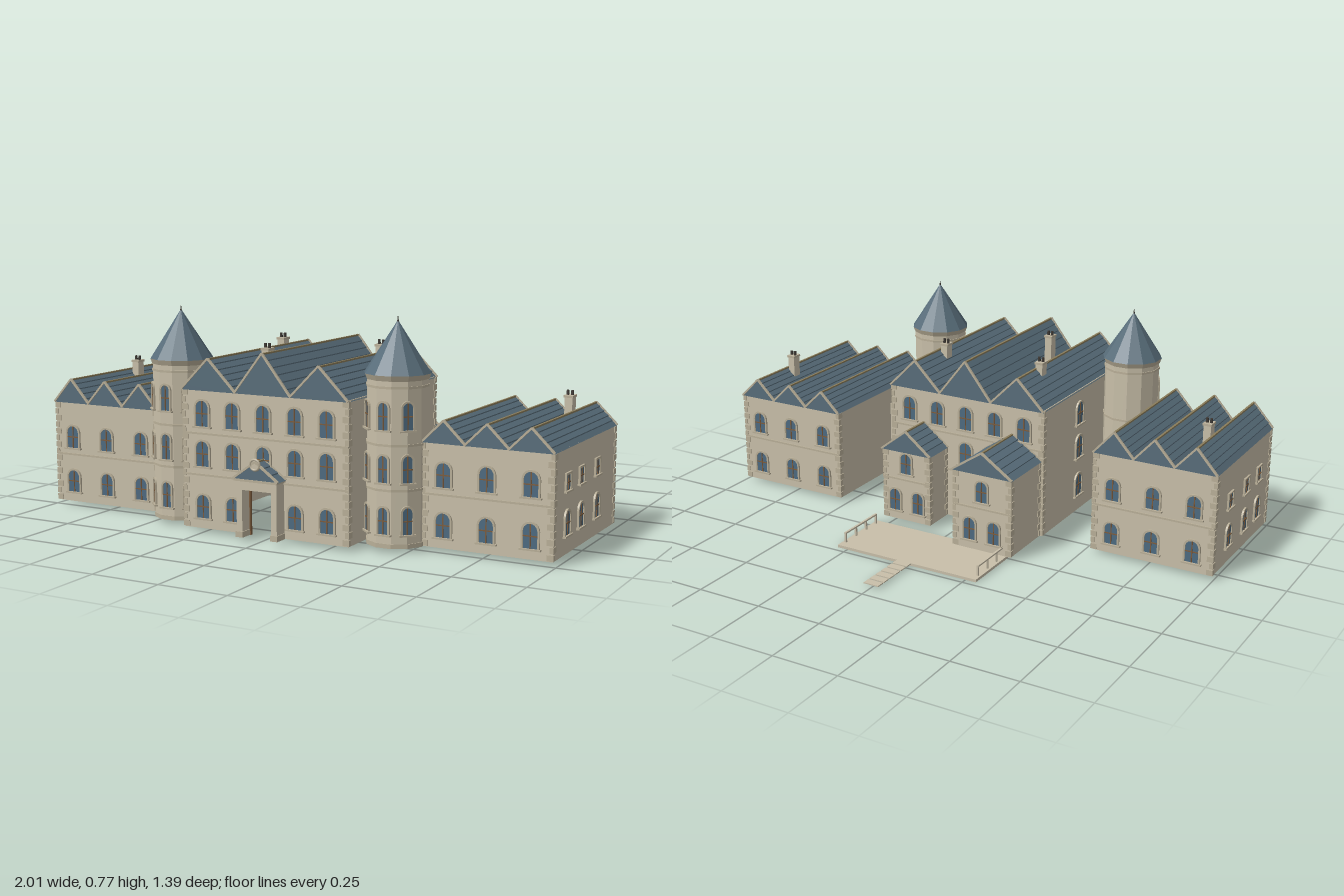
import * as THREE from 'three';

const mat = (name, color, side = THREE.FrontSide) => {
  const m = new THREE.MeshStandardMaterial({ color, side });
  m.name = name;
  return m;
};

export function createModel() {
  const stone = mat('stone', 0xc8bfa9, THREE.DoubleSide);
  const trim = mat('trim stone', 0xb9af98);
  const slate = mat('slate', 0x586d7a);
  const ridgeMat = mat('ridge', 0x8a7c5a);
  const glass = mat('glass', 0x4d6a80);
  const wood = mat('wood', 0x7b5b3c);
  const dark = mat('chimney pot', 0x3d3833);

  const house = new THREE.Group();
  house.name = 'manorHouse';
  const GROUND = 0.015;

  const add = (parent, name, geo, material, x = 0, y = 0, z = 0) => {
    const m = new THREE.Mesh(geo, material);
    m.name = name;
    m.position.set(x, y, z);
    parent.add(m);
    return m;
  };
  const box = (parent, name, material, w, h, d, x, y, z) =>
    add(parent, name, new THREE.BoxGeometry(w, h, d), material, x, y, z);
  const group = (name, parent = house) => {
    const g = new THREE.Group();
    g.name = name;
    parent.add(g);
    return g;
  };
  const extrude = (shape, depth) =>
    new THREE.ExtrudeGeometry(shape, { depth, bevelEnabled: false, curveSegments: 5 });

  // Window outline, its foot at the origin
  const outline = (Type, w, h, arched) => {
    const s = new Type();
    const r = w / 2;
    s.moveTo(-r, 0);
    s.lineTo(r, 0);
    if (arched) {
      s.lineTo(r, h - r);
      s.absarc(0, h - r, r, 0, Math.PI, false);
    } else {
      s.lineTo(r, h);
      s.lineTo(-r, h);
    }
    s.closePath();
    return s;
  };
  const cache = {};
  const addWindow = (parent, x, y, z, turn, w, h, arched = true) => {
    const key = [w, h, arched].join();
    if (!cache[key]) {
      const surround = outline(THREE.Shape, w + 0.014, h + 0.007, arched);
      const hole = outline(THREE.Path, w, h, arched);
      surround.holes.push(hole);
      cache[key] = {
        surround: extrude(surround, 0.007),
        pane: extrude(outline(THREE.Shape, w, h, arched), 0.003),
      };
    }
    const g = group('window', parent);
    g.position.set(x, y, z);
    g.rotation.y = turn;
    add(g, 'windowSurround', cache[key].surround, trim);
    add(g, 'windowPane', cache[key].pane, glass);
    box(g, 'mullion', wood, 0.004, h, 0.003, 0, h / 2, 0.004);
    box(g, 'transom', wood, w, 0.004, 0.003, 0, h * 0.5, 0.004);
    box(g, 'sill', trim, w + 0.024, 0.006, 0.012, 0, -0.003, 0.005);
  };

  // Walls without a floor; the front may be left off for a doorway
  const walls = (parent, x0, x1, top, z0, z1, openFront = false) => {
    const h = top - GROUND;
    const geo = new THREE.BoxGeometry(x1 - x0, h, z1 - z0);
    const all = Array.from(geo.index.array);
    geo.setIndex(all.filter((_, i) => !(i >= 18 && i < 24) && !(openFront && i >= 24 && i < 30)));
    geo.clearGroups();
    add(parent, 'walls', geo, stone, (x0 + x1) / 2, GROUND + h / 2, (z0 + z1) / 2);
    // Alternating corner stones
    const n = Math.round(h / 0.026);
    for (const [cx, sx] of [[x0, 1], [x1, -1]]) {
      for (const [cz, sz] of [[z0, 1], [z1, -1]]) {
        for (let i = 0; i < n; i++) {
          const lx = i % 2 ? 0.014 : 0.024, lz = i % 2 ? 0.024 : 0.014;
          box(parent, 'cornerStone', trim, lx, h / n * 0.8, lz,
            cx + sx * (lx / 2 - 0.003), GROUND + (i + 0.5) * h / n, cz + sz * (lz / 2 - 0.003));
        }
      }
    }
  };

  // Gabled roof running along z, with overlapping courses of slate
  const gable = (parent, x, half, y, rise, z0, z1, courses = 5) => {
    const right = [];
    for (let i = 0; i < courses; i++) {
      const a = i / courses, b = (i + 1) / courses;
      right.push([half * (1 - a), rise * a + (i ? 0.004 : 0)]);
      right.push([half * (1 - b), rise * b]);
    }
    const left = right.slice(0, -1).reverse().map(([px, py]) => [-px, py]);
    const shape = new THREE.Shape([...right, ...left].map(p => new THREE.Vector2(...p)));
    add(parent, 'roof', extrude(shape, z1 - z0), slate, x, y, z0);
    box(parent, 'ridge', ridgeMat, 0.008, 0.006, z1 - z0, x, y + rise, (z0 + z1) / 2);
    const len = Math.hypot(half, rise), angle = Math.atan2(rise, half);
    for (const z of [z0, z1]) {
      for (const s of [-1, 1]) {
        const b = box(parent, 'gableEdge', trim, len, 0.007, 0.008, x + s * half / 2, y + rise / 2 + 0.002, z);
        b.rotation.z = -s * angle;
      }
    }
  };

  const chimney = (x, z, bottom, top) => {
    const g = group('chimney');
    box(g, 'stack', stone, 0.028, top - bottom - 0.016, 0.036, x, (bottom + top - 0.016) / 2, z);
    box(g, 'stackCap', trim, 0.034, 0.008, 0.042, x, top - 0.02, z);
    for (const s of [-1, 1])
      add(g, 'pot', new THREE.CylinderGeometry(0.005, 0.006, 0.018, 8), dark, x + s * 0.008, top - 0.009, z);
  };
  const course = (parent, x0, x1, y, z) =>
    box(parent, 'stringCourse', trim, x1 - x0, 0.007, 0.01, (x0 + x1) / 2, y, z);

  // Central block with a doorway in the front wall
  const centre = group('centralBlock');
  walls(centre, -0.325, 0.325, 0.505, -0.045, 0.63, true);
  const front = new THREE.Shape();
  [[-0.325, GROUND], [-0.055, GROUND], [-0.055, 0.18], [0.055, 0.18], [0.055, GROUND],
    [0.325, GROUND], [0.325, 0.505], [-0.325, 0.505]].forEach(([x, y], i) => i ? front.lineTo(x, y) : front.moveTo(x, y));
  add(centre, 'frontWall', new THREE.ShapeGeometry(front), stone, 0, 0, 0.63);
  for (const i of [-1, 0, 1]) gable(centre, i * 0.217, 0.11, 0.5, i ? 0.11 : 0.14, -0.053, 0.637, 6);
  for (const x of [-0.245, -0.123, 0, 0.123, 0.245]) {
    for (const [y, h] of [[0.052, 0.082], [0.235, 0.088], [0.375, 0.09]]) {
      if (x || y > 0.1) addWindow(centre, x, y, 0.63, 0, 0.05, h);
      if (y > 0.3 || x === 0) addWindow(centre, x, y, -0.045, Math.PI, 0.05, h);
    }
  }
  for (const s of [-1, 1])
    for (const y of [0.08, 0.235, 0.37]) addWindow(centre, s * 0.325, y, 0.245, s * Math.PI / 2, 0.05, 0.085);
  for (const y of [0.205, 0.35]) {
    course(centre, -0.325, 0.325, y, 0.63);
    course(centre, -0.325, 0.325, y, -0.045);
  }

  // Entrance porch
  const porch = group('porch');
  for (const s of [-1, 1]) {
    box(porch, 'porchPier', stone, 0.022, 0.195, 0.05, s * 0.068, GROUND + 0.0975, 0.655);
    box(porch, 'pierBase', trim, 0.028, 0.02, 0.056, s * 0.068, GROUND + 0.01, 0.655);
    box(porch, 'doorJamb', wood, 0.005, 0.165, 0.01, s * 0.053, GROUND + 0.0825, 0.632);
  }
  box(porch, 'lintel', stone, 0.158, 0.032, 0.05, 0, 0.196, 0.655);
  box(porch, 'cornice', trim, 0.17, 0.008, 0.062, 0, 0.215, 0.657);
  gable(porch, 0, 0.088, 0.217, 0.063, 0.63, 0.686, 3);
  add(porch, 'roundel', new THREE.TorusGeometry(0.018, 0.005, 6, 14), trim, 0, 0.272, 0.688);
  add(porch, 'roundelFace', new THREE.CylinderGeometry(0.016, 0.016, 0.006, 14), stone, 0, 0.272, 0.687).rotation.x = Math.PI / 2;

  // Side wings: left end, right end, wall top, back, gable rise
  for (const [name, x0, x1, top, z0, rise] of [
    ['rightWing', -0.995, -0.53, 0.392, -0.05, 0.088], ['leftWing', 0.53, 0.988, 0.367, -0.115, 0.076]]) {
    const wing = group(name);
    const z1 = 0.495, pitch = (x1 - x0) / 3;
    walls(wing, x0, x1, top, z0, z1);
    for (let i = 0; i < 3; i++) {
      const x = x0 + pitch * (i + 0.5);
      gable(wing, x, pitch / 2 + 0.002, top - 0.002, rise, z0 - 0.006, z1 + 0.006);
      for (const [z, turn] of [[z1, 0], [z0, Math.PI]]) {
        addWindow(wing, x, 0.052, z, turn, 0.05, 0.082);
        addWindow(wing, x, 0.22, z, turn, 0.05, 0.082);
      }
    }
    course(wing, x0, x1, 0.195, z1);
    course(wing, x0, x1, 0.195, z0);
    const s = Math.sign(x0), outer = s > 0 ? x1 : x0;
    for (const z of [0.085, 0.245, 0.375]) {
      addWindow(wing, outer, 0.08, z, s * Math.PI / 2, 0.045, 0.08);
      addWindow(wing, outer, 0.228, z, s * Math.PI / 2, 0.038, 0.052, false);
    }
    // Link wall between wing and tower
    box(wing, 'linkWall', stone, 0.055, 0.285, 0.13, s * 0.503, GROUND + 0.1425, 0.315);
  }

  // Round towers
  for (const s of [-1, 1]) {
    const tower = group('tower');
    tower.position.set(s * 0.43, 0, 0.482);
    const ring = (name, r0, r1, y0, y1, material) => {
      const geo = new THREE.CylinderGeometry(r1, r0, y1 - y0, 12).toNonIndexed();
      geo.computeVertexNormals();
      add(tower, name, geo, material, 0, (y0 + y1) / 2, 0).rotation.y = Math.PI / 12;
    };
    ring('towerBody', 0.104, 0.104, GROUND, 0.58, stone);
    ring('towerBase', 0.107, 0.107, GROUND, 0.03, trim);
    for (const y of [0.205, 0.355, 0.545]) ring('towerBand', 0.107, 0.107, y, y + 0.008, trim);
    ring('towerCornice', 0.106, 0.113, 0.57, 0.588, trim);
    ring('towerRoof', 0.113, 0.003, 0.588, 0.757, slate);
    ring('finial', 0.004, 0.001, 0.75, 0.774, dark);
    for (const a of [-Math.PI / 4, 0, Math.PI / 4])
      for (const y of [0.062, 0.235, 0.41])
        addWindow(tower, Math.sin(a) * 0.102, y, Math.cos(a) * 0.102, a, 0.034, 0.09);
  }

  // Rear extensions
  for (const [x0, x1, top, z0, rise] of [[-0.315, -0.078, 0.312, -0.268, 0.083], [0.083, 0.285, 0.292, -0.172, 0.083]]) {
    const ext = group('rearExtension');
    const x = (x0 + x1) / 2;
    walls(ext, x0, x1, top, z0, -0.045);
    gable(ext, x, (x1 - x0) / 2 + 0.005, top - 0.002, rise, z0 - 0.006, -0.045);
    for (const dx of [-0.05, 0.05]) addWindow(ext, x + dx, 0.052, z0, Math.PI, 0.045, 0.085);
    addWindow(ext, x, 0.205, z0, Math.PI, 0.045, 0.08);
    course(ext, x0, x1, 0.18, z0);
  }

  // Terrace, railings and stepping stones
  const terrace = group('terrace');
  box(terrace, 'terraceFloor', stone, 0.584, 0.01, 0.258, 0, 0.005, -0.348);
  for (const s of [-1, 1]) {
    box(terrace, 'handrail', stone, 0.008, 0.006, 0.205, s * 0.28, 0.046, -0.343);
    for (let i = 0; i < 4; i++)
      box(terrace, 'railPost', stone, 0.007, 0.036, 0.007, s * 0.28, 0.027, -0.244 - i * 0.066);
  }
  for (let i = 0; i < 6; i++)
    box(terrace, 'steppingStone', stone, 0.06, 0.004, 0.029, 0, 0.012, -0.498 - i * 0.0365);

  chimney(-0.89, 0.12, 0.42, 0.53);
  chimney(0.89, 0.09, 0.38, 0.51);
  chimney(-0.23, 0.11, 0.55, 0.652);
  chimney(-0.1, 0.435, 0.5, 0.652);
  chimney(0.195, 0.14, 0.55, 0.652);

  return house;
}
